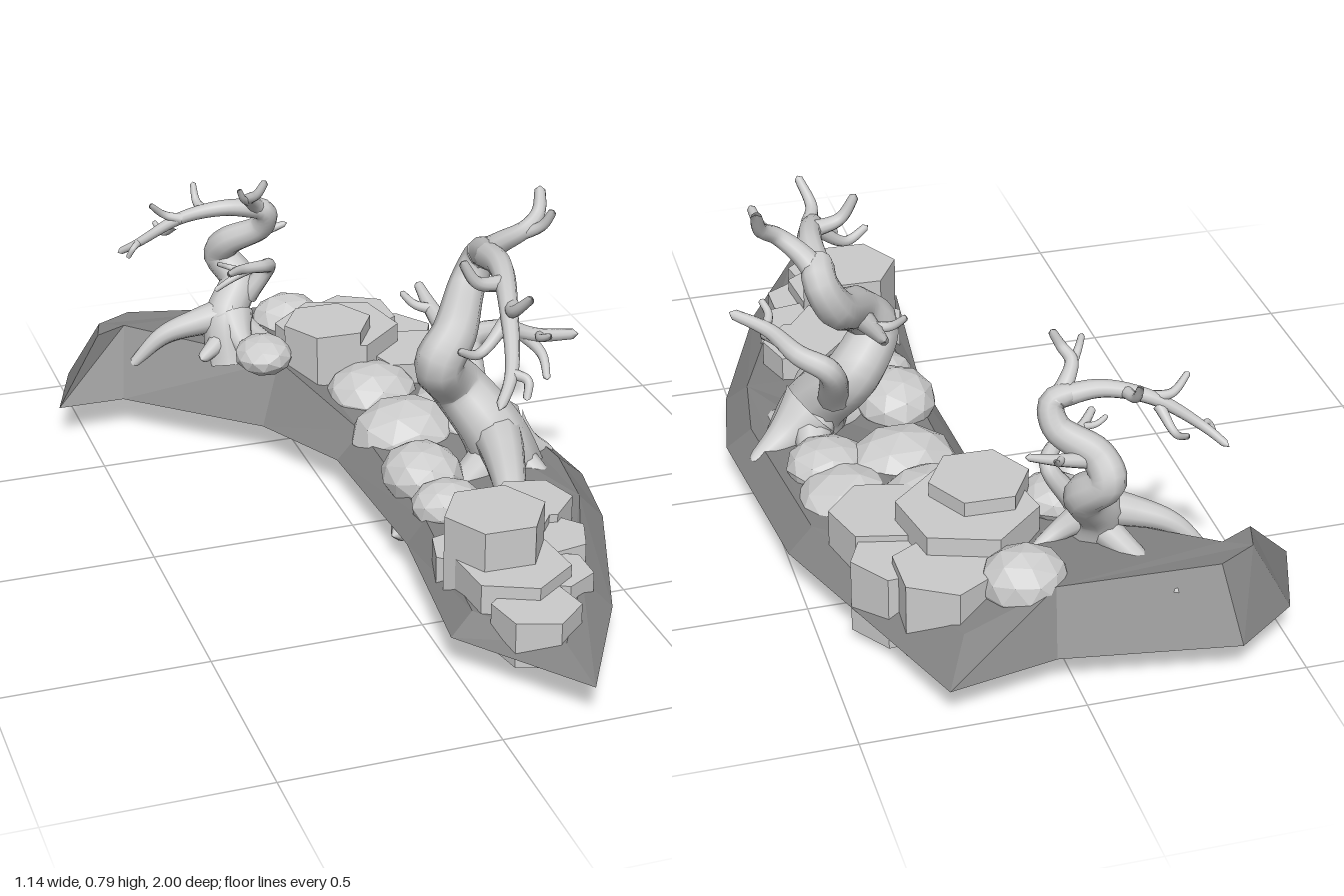
import * as THREE from 'three';

const earthMat = new THREE.MeshStandardMaterial({ color: 0x828282, flatShading: true });
const rockMat = new THREE.MeshStandardMaterial({ color: 0xcccccc, flatShading: true });
const barkMat = new THREE.MeshStandardMaterial({ color: 0xcccccc });

function add(parent, name, geo, mat) {
  const m = new THREE.Mesh(geo, mat);
  m.name = name;
  parent.add(m);
  return m;
}

// Curved bank: base outline [x, z] and rim [x, z, y], joined by a sloping skirt
function bank() {
  const base = [[-.57, -.69], [-.5, -.89], [-.35, -1], [.05, -.94], [.3, -.99], [.52, -.4], [.57, .08], [.53, .3],
    [.38, .7], [.21, 1], [-.01, .71], [.04, .28], [.02, -.18], [-.1, -.42], [-.4, -.69]];
  const rim = [[-.44, -.78, .24], [-.42, -.85, .24], [-.33, -.9, .24], [.03, -.86, .22], [.24, -.88, .15],
    [.46, -.38, .14], [.51, .07, .14], [.48, .27, .14], [.33, .64, .14], [.2, .86, .12], [.05, .68, .13],
    [.09, .27, .14], [.09, -.2, .15], [-.02, -.54, .21], [-.36, -.82, .24]];
  const n = base.length, pos = [], idx = [];
  base.forEach(([x, z]) => pos.push(x, .09, z));
  rim.forEach(([x, z, y]) => pos.push(x, y, z));
  for (let i = 0; i < n; i++) {
    const j = (i + 1) % n;
    idx.push(i, n + i, j, j, n + i, n + j);
  }
  const cap = (ring, offset, up) => {
    const pts = ring.map(([x, z]) => new THREE.Vector2(x, z));
    for (const [a, b, c] of THREE.ShapeUtils.triangulateShape(pts, [])) {
      const cross = (pts[b].x - pts[a].x) * (pts[c].y - pts[a].y) - (pts[b].y - pts[a].y) * (pts[c].x - pts[a].x);
      if ((cross < 0) === up) idx.push(offset + a, offset + b, offset + c);
      else idx.push(offset + a, offset + c, offset + b);
    }
  };
  cap(base, 0, false);
  cap(rim, n, true);
  const g = new THREE.BufferGeometry();
  g.setAttribute('position', new THREE.Float32BufferAttribute(pos, 3));
  g.setIndex(idx);
  const flat = g.toNonIndexed();
  flat.computeVertexNormals();
  return flat;
}

// Tapering limb along a smooth path, with a rounded tip
function limb(points, r0, r1) {
  const curve = new THREE.CatmullRomCurve3(points.map(p => new THREE.Vector3(...p)));
  const n = points.length * 6, sides = 10;
  const g = new THREE.TubeGeometry(curve, n, 1, sides);
  const p = g.attributes.position, v = new THREE.Vector3();
  const len = curve.getLength();
  for (let i = 0; i <= n; i++) {
    const t = i / n, c = curve.getPointAt(t);
    const tip = Math.min(1, (1 - t) * len / r1);
    const r = THREE.MathUtils.lerp(r0, r1, Math.pow(t, .75)) * Math.sqrt(1 - (1 - tip) ** 2);
    for (let j = 0; j <= sides; j++) {
      const k = i * (sides + 1) + j;
      v.fromBufferAttribute(p, k).sub(c).multiplyScalar(r).add(c);
      p.setXYZ(k, v.x, v.y, v.z);
    }
  }
  return g;
}

// Gnarled bare tree
function tree(name) {
  const t = new THREE.Group();
  t.name = name;
  const limbs = {
    trunk: [
      [[[.41, .05, .03], [.355, .21, .03], [.28, .325, -.04], [.215, .41, .01], [.26, .475, -.01], [.335, .55, -.12],
        [.37, .62, -.125], [.36, .655, -.05]], .1, .036]],
    longBranch: [[[[.37, .635, -.1], [.36, .65, .03], [.32, .614, .184], [.27, .517, .334], [.215, .465, .4]], .038, .012]],
    upperBranch: [[[[.36, .62, -.12], [.4, .67, -.07], [.45, .71, -.04], [.49, .74, -.06], [.505, .795, -.09]], .036, .013]],
    sideBranch: [[[[.33, .28, -.06], [.36, .395, -.135], [.42, .425, -.1], [.47, .445, 0], [.55, .467, .07]], .042, .012]],
    backBranch: [[[[.26, .46, 0], [.25, .485, -.13], [.25, .515, -.245]], .035, .011]],
    twigs: [
      [[[.34, .64, .1], [.27, .655, .11], [.23, .715, .11]], .022, .011],
      [[[.33, .615, .18], [.31, .63, .24], [.33, .685, .3]], .02, .01],
      [[[.31, .59, .2], [.23, .53, .23], [.17, .555, .25]], .02, .009],
      [[[.27, .52, .33], [.3, .51, .36], [.29, .47, .38]], .014, .009],
      [[[.43, .69, -.05], [.48, .725, -.01], [.5, .77, .01]], .018, .01],
      [[[.45, .435, -.04], [.47, .41, .04], [.46, .37, .1]], .018, .009],
      [[[.48, .445, 0], [.46, .46, .05], [.47, .48, .09]], .014, .008],
      [[[.25, .49, -.13], [.21, .5, -.15], [.18, .53, -.17]], .015, .008]],
    roots: [
      [[[.36, .23, 0], [.34, .2, .13], [.31, .15, .26], [.28, .03, .38]], .075, .018],
      [[[.37, .21, .01], [.44, .15, 0], [.53, .1, -.03]], .085, .02],
      [[[.36, .16, .03], [.2, .1, .12], [.03, .07, .2]], .06, .022],
      [[[.37, .2, 0], [.39, .13, -.09], [.38, .08, -.17]], .06, .02],
      [[[.38, .17, .03], [.43, .13, .1], [.46, .1, .16]], .06, .02]],
  };
  for (const [part, list] of Object.entries(limbs)) {
    for (const [pts, r0, r1] of list) add(t, part, limb(pts, r0, r1), barkMat);
  }
  return t;
}

export function createModel() {
  const model = new THREE.Group();
  model.name = 'bankWithTrees';
  add(model, 'bank', bank(), earthMat);

  // Stone slabs: x, z, radius, bottom, top, turn
  const slabs = [
    [.155, .54, .12, .1, .295, .5], [.17, .76, .1, .06, .17, .2], [.17, .62, .13, .05, .2, .1], [.12, .47, .09, .1, .17, .8],
    [.32, .35, .1, .1, .2, .3], [.31, .49, .095, .06, .18, .7], [.27, .63, .085, .1, .17, 0], [.22, .43, .11, .07, .2, .4],
    [.11, -.53, .115, .14, .31, .5], [.15, -.58, .16, .025, .275, .2], [.24, -.73, .12, .05, .23, 0],
    [.32, -.48, .12, .1, .225, .3], [.32, -.63, .11, .03, .21, .6]];
  for (const [x, z, r, y0, y1, turn] of slabs) {
    const m = add(model, 'stoneSlab', new THREE.CylinderGeometry(r, r, y1 - y0, 6), rockMat);
    m.position.set(x, (y0 + y1) / 2, z);
    m.rotation.y = turn;
  }

  // Faceted boulders: x, y, z, and half-sizes
  const boulders = [
    [.2, .13, -.18, .14, .1, .125], [.35, .1, -.27, .13, .1, .14], [.18, .16, -.38, .12, .08, .11], [.15, .16, .08, .1, .075, .11],
    [.16, .15, .23, .09, .06, .08], [.08, .2, -.79, .1, .08, .09], [-.06, .235, -.54, .075, .05, .08],
    [.37, .15, -.15, .1, .06, .1]];
  boulders.forEach(([x, y, z, a, b, c], i) => {
    const g = new THREE.IcosahedronGeometry(1, 1).rotateY(i * .9).rotateX(i * .5);
    const m = add(model, 'boulder', g, rockMat);
    m.position.set(x, y, z);
    m.scale.set(a, b, c);
  });

  // Large tree mid-bank, smaller turned one at the back
  model.add(tree('largeTree'));
  const small = tree('smallTree');
  small.scale.setScalar(.7);
  small.rotation.y = -Math.PI / 2;
  small.position.set(-.096, .136, -.94);
  model.add(small);
  return model;
}
